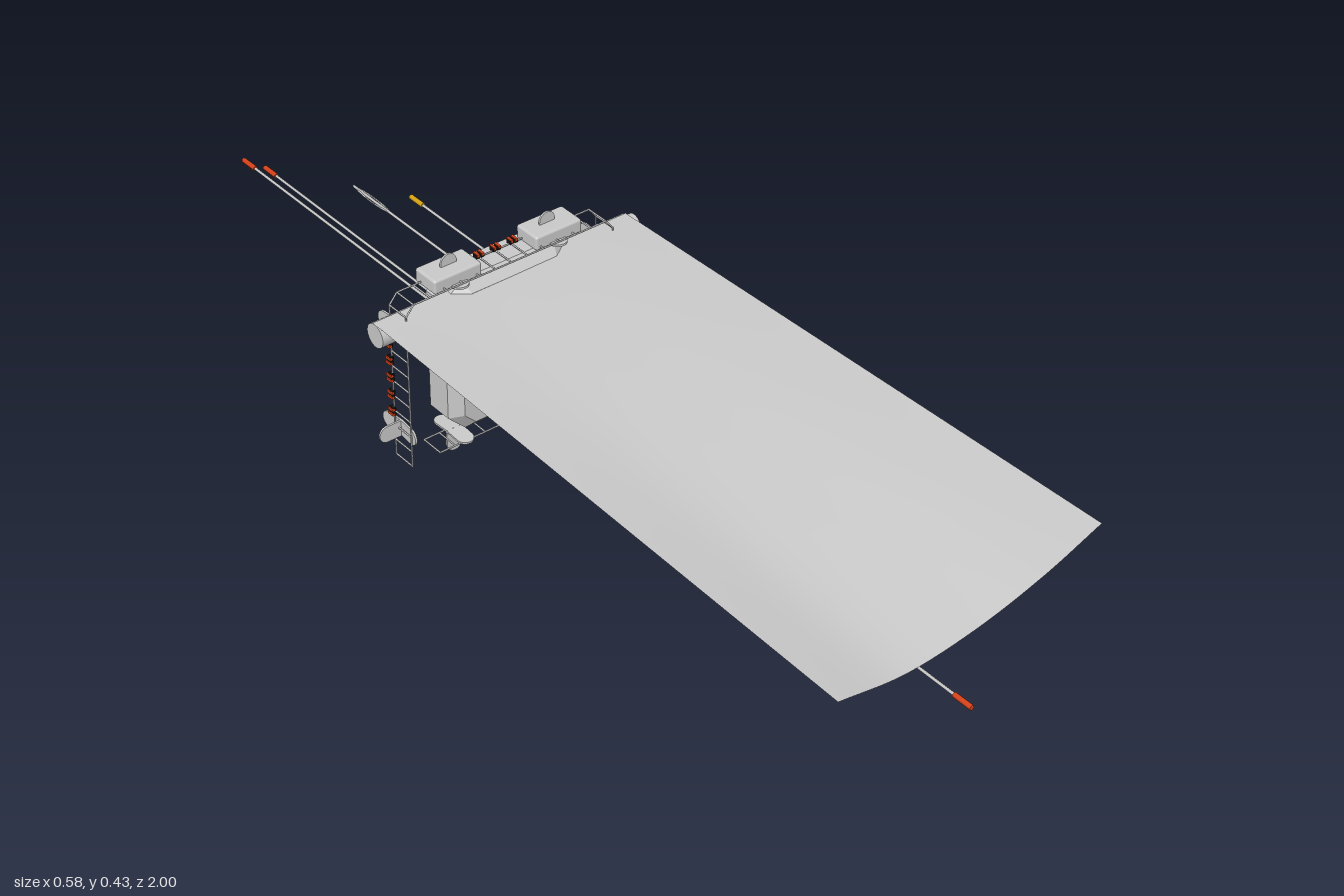
import * as THREE from 'three';
import { RoundedBoxGeometry } from 'three/addons/geometries/RoundedBoxGeometry.js';

const material = (name, color, side = THREE.FrontSide) => {
  const m = new THREE.MeshStandardMaterial({ color, side });
  m.name = name;
  return m;
};

export function createModel() {
  const grey = material('hull grey', 0xc8c8c8);
  const sheetGrey = material('sheet grey', 0xc8c8c8, THREE.DoubleSide);
  const dark = material('dark metal', 0x929292);
  const black = material('black', 0x101010);
  const gold = material('gold', 0xd9a514);
  const red = material('signal red', 0xd8431a);
  const model = new THREE.Group();

  const V = (x, y, z) => new THREE.Vector3(x, y, z);
  const add = (name, geometry, mat, x = 0, y = 0, z = 0, parent = model) => {
    const mesh = new THREE.Mesh(geometry, mat);
    mesh.name = name;
    mesh.position.set(x, y, z);
    parent.add(mesh);
    return mesh;
  };
  // box given by its minimum and maximum corners
  const block = (name, mat, a, b) =>
    add(name, new THREE.BoxGeometry(b[0] - a[0], b[1] - a[1], b[2] - a[2]), mat,
      (a[0] + b[0]) / 2, (a[1] + b[1]) / 2, (a[2] + b[2]) / 2);
  // straight round bar between two points
  const bar = (name, mat, a, b, r, sides = 6, parent = model) => {
    const p = V(...a), q = V(...b), d = q.clone().sub(p);
    const mesh = add(name, new THREE.CylinderGeometry(r, r, d.length(), sides), mat, 0, 0, 0, parent);
    mesh.position.copy(p).add(q).multiplyScalar(0.5);
    mesh.quaternion.setFromUnitVectors(V(0, 1, 0), d.normalize());
  };
  const extrude = (name, shape, depth, bevel, mat, z) =>
    add(name, new THREE.ExtrudeGeometry(shape, {
      depth, bevelEnabled: bevel > 0, bevelSize: bevel, bevelThickness: bevel,
      bevelOffset: -bevel, bevelSegments: 1 }), mat, 0, 0, z);

  // Main body: chamfered slab with bevelled faces
  const [l, r, b, t, c] = [-0.147, 0.135, 0.058, 0.385, 0.037];
  const octagon = new THREE.Shape([
    [l + c, b], [r - c, b], [r, b + c], [r, t - c], [r - c, t], [l + c, t], [l, t - c], [l, b + c],
  ].map(p => new THREE.Vector2(...p)));
  extrude('body', octagon, 0.055, 0.022, grey, -0.323);

  // Four-lobed plate and stacked boxes on the back
  const lobes = [];
  for (let i = 0; i < 64; i++) {
    const a = i / 64 * Math.PI * 2, k = 0.104 - 0.012 * Math.cos(4 * a);
    lobes.push(new THREE.Vector2(-0.005 + k * Math.cos(a), 0.225 + k * Math.sin(a)));
  }
  extrude('backPlate', new THREE.Shape(lobes), 0.037, 0, grey, -0.382);
  block('backBox', grey, [-0.04, 0.205, -0.445], [0.04, 0.27, -0.38]);
  block('backSideBox', grey, [-0.08, 0.215, -0.425], [-0.04, 0.26, -0.38]);
  block('backSmallBox', grey, [0.04, 0.215, -0.4], [0.08, 0.26, -0.38]);

  // Equipment boxes on the front
  block('frontBox', grey, [-0.035, 0.2, -0.25], [0.02, 0.27, -0.12]);
  block('frontDarkBox', dark, [0.02, 0.205, -0.25], [0.047, 0.27, -0.13]);
  block('frontLowBox', grey, [-0.077, 0.137, -0.25], [0, 0.2, -0.19]);
  const wedge = new THREE.Shape([[-0.03, 0.155], [0.03, 0.155], [0.048, 0.165], [0.048, 0.175],
    [0.03, 0.185], [-0.03, 0.185]].map(p => new THREE.Vector2(...p)));
  extrude('frontWedge', wedge, 0.12, 0, grey, -0.25);

  // Large curved sheet, flat at the roll and wavy at its free edge
  const freeEdge = new THREE.CatmullRomCurve3([
    V(-0.292, 0.332, 0.938), V(-0.15, 0.311, 0.938), V(-0.01, 0.333, 0.946),
    V(0.13, 0.367, 0.947), V(0.275, 0.391, 0.93)]);
  const sheet = new THREE.PlaneGeometry(1, 1, 24, 6);
  const pos = sheet.attributes.position;
  for (let i = 0; i < pos.count; i++) {
    const u = pos.getX(i) + 0.5, v = 0.5 - pos.getY(i);
    const p = V(-0.292 + 0.567 * u, 0.364, -0.28).lerp(freeEdge.getPoint(u), v);
    pos.setXYZ(i, p.x, p.y, p.z);
  }
  sheet.computeVertexNormals();
  add('sheet', sheet, sheetGrey);

  // Roll carrying the sheet
  bar('sheetRoll', grey, [-0.292, 0.339, -0.275], [0.275, 0.339, -0.275], 0.024, 24);
  bar('rollCap', grey, [0.275, 0.338, -0.275], [0.291, 0.338, -0.275], 0.02, 24);

  // Ladder-like handrails around the body
  const ladder = (name, points, rungs) => {
    const g = new THREE.Group();
    g.name = name;
    model.add(g);
    for (const z of [-0.25, -0.3])
      for (let i = 1; i < points.length; i++)
        bar('rail', grey, [...points[i - 1], z], [...points[i], z], 0.0017, 6, g);
    const p = points.length === 4 ? points.slice(1, 3) : points;
    for (let i = 0; i <= rungs; i++) {
      const k = i / rungs;
      const x = p[0][0] + (p[1][0] - p[0][0]) * k, y = p[0][1] + (p[1][1] - p[0][1]) * k;
      bar('rung', grey, [x, y, -0.25], [x, y, -0.3], 0.0017, 6, g);
    }
  };
  ladder('topHandrail', [[-0.242, 0.37], [-0.225, 0.39], [0.205, 0.39], [0.221, 0.37]], 12);
  ladder('bottomHandrail', [[-0.18, 0.044], [0.16, 0.044]], 10);
  ladder('rightHandrail', [[-0.242, 0.042], [-0.242, 0.37]], 10);
  ladder('leftHandrail', [[0.221, 0.042], [0.221, 0.37]], 10);

  // Paired marker lamps along the rails, red caps facing outward
  const lamp = (x, y, nx, ny) => {
    for (const s of [-0.005, 0.005]) {
      const px = x + s * Math.abs(ny), py = y + s * Math.abs(nx);
      add('lampHousing', new THREE.BoxGeometry(0.007, 0.007, 0.012), black, px, py, -0.301);
      add('lamp', new THREE.BoxGeometry(0.005, 0.005, 0.015), red, px + nx * 0.003, py + ny * 0.003, -0.301);
    }
  };
  for (let i = 0; i < 5; i++) {
    lamp(-0.245, 0.14 + i * 0.0375, -1, 0);
    lamp(0.225, 0.136 + i * 0.0385, 1, 0);
    lamp(-0.087 + i * 0.038, 0.04, 0, -1);
  }
  for (const x of [-0.045, -0.008, 0.03]) lamp(x, 0.394, 0, 1);

  // Rounded paddles, each with two wings crossing its root
  const tongue = new THREE.Shape();
  tongue.moveTo(-0.017, 0);
  tongue.lineTo(0.017, 0);
  tongue.lineTo(0.017, 0.034);
  tongue.absarc(0, 0.034, 0.017, 0, Math.PI, false);
  const tongueGeo = new THREE.ExtrudeGeometry(tongue, { depth: 0.004, bevelEnabled: false });
  tongueGeo.translate(0, 0, -0.002);
  const paddle = (x, y, turn) => {
    const g = new THREE.Group();
    g.name = 'paddle';
    g.position.set(x, y, -0.29);
    g.rotation.z = turn;
    model.add(g);
    add('blade', tongueGeo, grey, 0, 0, 0, g);
    for (const s of [-1, 1]) add('wing', tongueGeo, grey, 0, 0.002, 0, g).rotation.x = s * 1.5;
  };
  for (const x of [-0.12, 0.1]) {
    paddle(x, 0.382, 0);
    paddle(x, 0.051, Math.PI);
  }
  for (const y of [0.104, 0.325]) {
    paddle(-0.233, y, Math.PI / 2);
    paddle(0.213, y, -Math.PI / 2);
  }

  // Rounded equipment cases on the top rail
  for (const x of [-0.121, 0.104]) {
    add('topCase', new RoundedBoxGeometry(0.104, 0.029, 0.06, 2, 0.005), grey, x, 0.3965, -0.288);
    for (const s of [-0.038, 0.038]) bar('caseFoot', grey, [x + s, 0.376, -0.288], [x + s, 0.383, -0.288], 0.004);
  }

  // Boom with three tilted lens-shaped dishes
  bar('boom', grey, [-0.035, 0.237, -0.13], [-0.035, 0.237, 0.44], 0.012, 12);
  for (const z of [-0.02, 0.095, 0.21]) {
    const g = new THREE.Group();
    g.name = 'dish';
    g.position.set(-0.05, 0.208, z);
    g.rotation.z = -0.25;
    model.add(g);
    add('dishLens', new THREE.SphereGeometry(0.052, 24, 12), grey, 0, 0, 0, g).scale.y = 0.22;
    add('dishKnob', new THREE.CylinderGeometry(0.009, 0.009, 0.018, 12), grey, -0.028, -0.013, 0, g);
  }

  // Two black square collars at the boom end
  for (const z of [0.325, 0.395]) {
    for (const y of [0.22, 0.252]) block('collarPlate', black, [-0.061, y - 0.0035, z], [-0.006, y + 0.0035, z + 0.05]);
    for (const x of [-0.061, -0.012]) block('collarSide', black, [x, 0.2235, z], [x + 0.006, 0.2485, z + 0.05]);
  }

  // Gold head and side probe
  block('goldHead', gold, [-0.056, 0.229, 0.44], [-0.01, 0.244, 0.5]);
  bar('goldArm', gold, [-0.03, 0.236, 0.49], [-0.075, 0.236, 0.545], 0.007, 8);
  bar('sideRod', grey, [-0.07, 0.236, 0.535], [-0.137, 0.236, 0.555], 0.004, 8);
  bar('sideRodTip', red, [-0.137, 0.236, 0.555], [-0.147, 0.236, 0.559], 0.005, 8);

  // Whip aerials; some end in a coloured tip, some carry a flat loop
  const aerial = (x, y, z0, z1, tip) => {
    const end = tip ? z1 - Math.sign(z1 - z0) * 0.04 : z1;
    bar('aerial', grey, [x, y, z0], [x, y, end], 0.0028);
    if (tip) bar('aerialTip', tip, [x, y, end], [x, y, z1], 0.005);
  };
  const loop = (x, y, z) => {
    const m = add('aerialLoop', new THREE.TorusGeometry(0.006, 0.0015, 6, 16), grey, x, y, z);
    m.rotation.x = Math.PI / 2;
    m.scale.y = 8;
  };
  aerial(-0.063, 0.236, 0.48, 1, red);
  aerial(-0.015, 0.236, 0.44, 0.73, null);
  aerial(-0.15, 0.336, -0.2, -0.91, red);
  aerial(-0.05, 0.236, -0.38, -1, red);
  aerial(0.03, 0.256, -0.38, -0.81, null);
  aerial(0.073, 0.28, -0.34, -0.68, gold);
  loop(-0.015, 0.236, 0.67);
  loop(0.03, 0.256, -0.745);

  return model;
}
